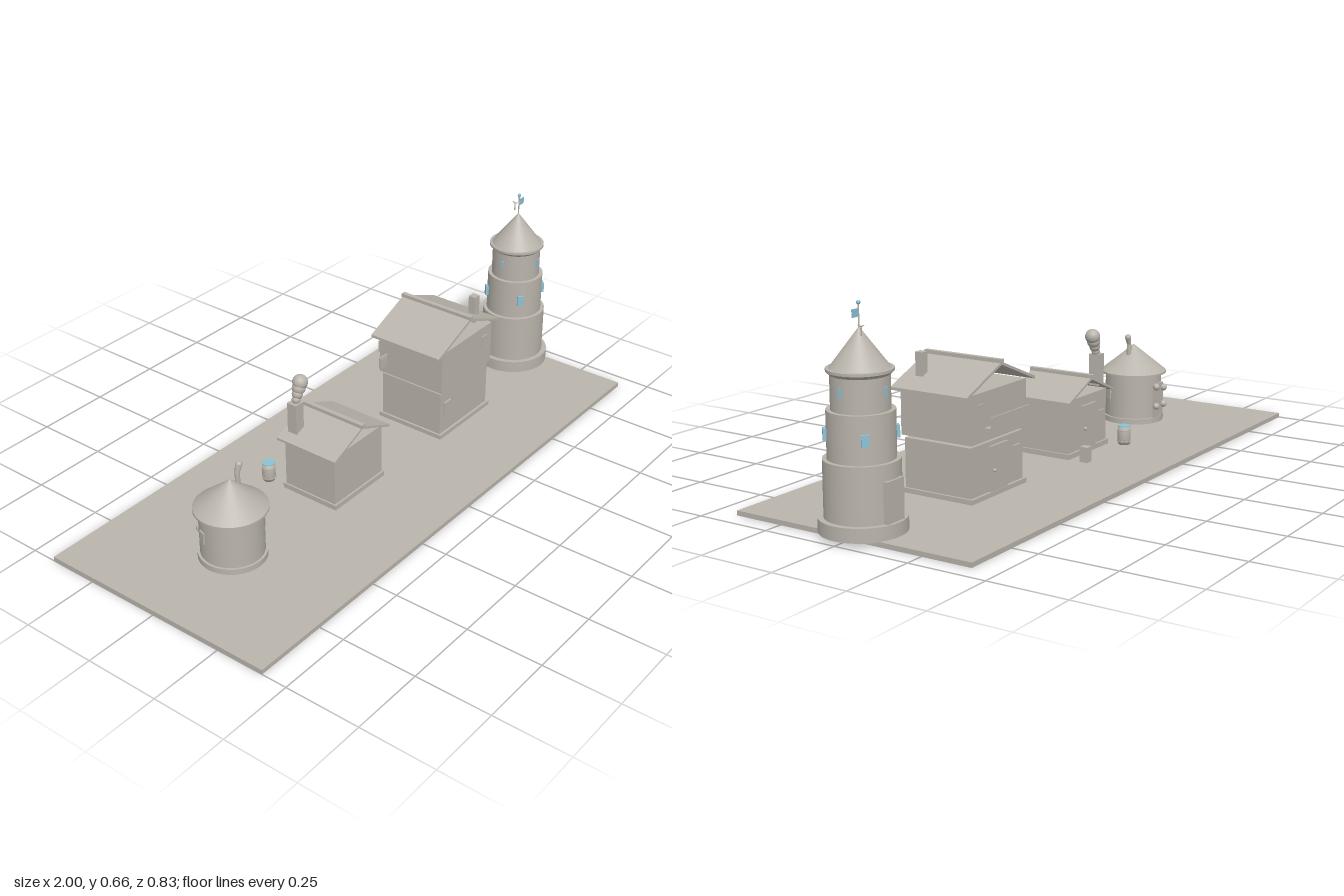
import * as THREE from 'three';

const stone = new THREE.MeshStandardMaterial({ color: 0xb9b4ab });
stone.name = 'warm grey stone';
const blue = new THREE.MeshStandardMaterial({ color: 0x8cc2d6 });
blue.name = 'pale blue';

function add(parent, name, geo, x, y, z, mat = stone) {
  const m = new THREE.Mesh(geo, mat);
  m.name = name;
  m.position.set(x, y, z);
  parent.add(m);
  return m;
}

function group(parent, name, x = 0, z = 0) {
  const g = new THREE.Group();
  g.name = name;
  g.position.set(x, 0, z);
  parent.add(g);
  return g;
}

// Box given by its size, bottom height and centre
const box = (p, name, w, h, d, x, y0, z, mat) =>
  add(p, name, new THREE.BoxGeometry(w, h, d), x, y0 + h / 2, z, mat);

// Upright drum or cone between two heights
const drum = (p, name, rBottom, rTop, y0, y1, x = 0, z = 0, mat = stone) =>
  add(p, name, new THREE.CylinderGeometry(rTop, rBottom, y1 - y0, 40), x, (y0 + y1) / 2, z, mat);

const ball = (p, name, r, x, y, z, mat) =>
  add(p, name, new THREE.SphereGeometry(r, 20, 14), x, y, z, mat);

// Box set on a round wall, turned outwards; angle 0 faces +z
function onWall(p, name, w, h, d, r, angle, y0, mat) {
  const m = box(p, name, w, h, d, Math.sin(angle) * r, y0, Math.cos(angle) * r, mat);
  m.rotation.y = angle;
  return m;
}

// Thin folded roof with its ridge along z, open underneath
function gableRoof(p, half, yEave, yRidge, depth, t) {
  const s = new THREE.Shape([
    [-half, yEave - t], [0, yRidge - t], [half, yEave - t],
    [half, yEave], [0, yRidge], [-half, yEave],
  ].map(([x, y]) => new THREE.Vector2(x, y)));
  const geo = new THREE.ExtrudeGeometry(s, { depth, bevelEnabled: false });
  add(p, 'gableRoof', geo, 0, 0, -depth / 2);
  box(p, 'ridgeCap', 0.016, 0.014, depth + 0.006, 0, yRidge - 0.006, 0);
}

function roundHut(root) {
  const g = group(root, 'roundHut', -0.655);
  drum(g, 'plinth', 0.107, 0.107, 0.014, 0.034);
  drum(g, 'wall', 0.099, 0.099, 0.034, 0.19);
  drum(g, 'eave', 0.115, 0.115, 0.185, 0.192);
  drum(g, 'coneRoof', 0.115, 0.002, 0.192, 0.283);
  // Leaning stove pipe with a puff
  drum(g, 'stovePipe', 0.008, 0.008, 0.24, 0.29, 0.035, 0);
  const puff = drum(g, 'smoke', 0.007, 0.011, 0.285, 0.316, 0.038, 0);
  puff.rotation.z = -0.3;
  ball(g, 'smokePuff', 0.011, 0.043, 0.315, 0);
  // Door with a cluster of round fittings
  onWall(g, 'door', 0.06, 0.12, 0.012, 0.098, Math.PI, 0.034);
  for (const [x, y] of [[-0.026, 0.135], [0.026, 0.145], [-0.026, 0.075], [0.026, 0.075]])
    ball(g, 'doorLantern', 0.012, x, y, -0.108);
  for (const a of [1.05, -1.9]) onWall(g, 'window', 0.024, 0.04, 0.01, 0.098, a, 0.095);
}

function cottage(root) {
  const g = group(root, 'cottage', -0.168);
  box(g, 'plinth', 0.252, 0.018, 0.214, 0, 0.014, 0);
  box(g, 'walls', 0.24, 0.175, 0.2, 0, 0.032, 0);
  gableRoof(g, 0.14, 0.207, 0.268, 0.234, 0.008);
  box(g, 'chimney', 0.036, 0.105, 0.036, -0.09, 0.222, -0.08);
  // Smoke swelling as it drifts
  [[-0.085, 0.335, 0.014], [-0.078, 0.353, 0.018], [-0.071, 0.371, 0.022], [-0.064, 0.389, 0.025]]
    .forEach(([x, y, r]) => ball(g, 'smokePuff', r, x, y, -0.08));
  box(g, 'door', 0.085, 0.145, 0.012, 0, 0.032, -0.102);
  ball(g, 'doorKnob', 0.006, 0.03, 0.1, -0.112);
  box(g, 'window', 0.03, 0.04, 0.008, -0.085, 0.1, -0.102);
  box(g, 'crate', 0.028, 0.05, 0.028, 0.125, 0.02, -0.17);

  // Water barrel
  const b = group(g, 'barrel', -0.127, -0.168);
  const profile = [[0, 0.022], [0.019, 0.022], [0.022, 0.04], [0.022, 0.065], [0.019, 0.084], [0, 0.084]]
    .map(([x, y]) => new THREE.Vector2(x, y));
  add(b, 'barrelBody', new THREE.LatheGeometry(profile, 28), 0, 0, 0);
  for (const y of [0.034, 0.07]) drum(b, 'hoop', 0.0235, 0.0235, y - 0.002, y + 0.002);
  drum(b, 'water', 0.0205, 0.0205, 0.083, 0.086, 0, 0, blue);
}

function townHouse(root) {
  const g = group(root, 'townHouse', 0.387);
  box(g, 'plinth', 0.29, 0.016, 0.258, 0, 0.014, 0);
  box(g, 'lowerStorey', 0.274, 0.154, 0.24, 0, 0.03, 0);
  box(g, 'upperStorey', 0.288, 0.15, 0.256, 0, 0.193, 0);
  gableRoof(g, 0.18, 0.345, 0.42, 0.276, 0.009);
  box(g, 'chimney', 0.026, 0.095, 0.026, 0.103, 0.35, 0.08);
  box(g, 'door', 0.09, 0.14, 0.012, 0, 0.03, -0.122);
  ball(g, 'doorKnob', 0.006, 0.03, 0.095, -0.131);
  // Windows on the long faces
  box(g, 'lowerWindow', 0.036, 0.045, 0.012, -0.1, 0.1, -0.121);
  box(g, 'lowerWindow', 0.036, 0.045, 0.012, -0.1, 0.1, 0.121);
  for (const z of [-0.128, 0.128]) box(g, 'upperWindow', 0.03, 0.04, 0.008, 0.1, 0.27, z);
  // Balcony
  box(g, 'balconyFloor', 0.2, 0.007, 0.026, 0, 0.234, -0.156);
  box(g, 'balconyRail', 0.2, 0.036, 0.004, 0, 0.239, -0.167);
  // Hanging sign on the side wall
  box(g, 'signArm', 0.04, 0.006, 0.006, -0.162, 0.262, -0.1);
  box(g, 'signBoard', 0.034, 0.036, 0.008, -0.164, 0.225, -0.1);
}

function tower(root) {
  const g = group(root, 'tower', 0.873);
  drum(g, 'base', 0.127, 0.127, 0.014, 0.056);
  drum(g, 'lowerTier', 0.11, 0.11, 0.056, 0.223);
  drum(g, 'middleTier', 0.097, 0.097, 0.223, 0.361);
  drum(g, 'upperTier', 0.084, 0.084, 0.361, 0.46);
  drum(g, 'corniceFlare', 0.084, 0.095, 0.458, 0.468);
  drum(g, 'cornice', 0.095, 0.095, 0.468, 0.476);
  drum(g, 'coneRoof', 0.086, 0.002, 0.476, 0.586);
  onWall(g, 'door', 0.075, 0.12, 0.02, 0.106, Math.PI, 0.056);
  // Diagonal windows on the middle tier, slits on the upper one
  for (let i = 0; i < 4; i++) {
    const a = i * Math.PI / 2;
    onWall(g, 'window', 0.022, 0.035, 0.012, 0.1, a + Math.PI / 4, 0.275, blue);
    onWall(g, 'slitWindow', 0.005, 0.028, 0.009, 0.088, a, 0.404, blue);
  }
  // Flag pole and flag
  drum(g, 'flagPole', 0.002, 0.002, 0.58, 0.652);
  ball(g, 'poleBall', 0.006, 0, 0.655, 0, blue);
  box(g, 'flag', 0.027, 0.023, 0.003, 0.015, 0.616, 0, blue);
  // Gliding bird beside the roof
  const bird = group(g, 'bird', 0.042, -0.042);
  box(bird, 'birdBody', 0.003, 0.024, 0.003, 0, 0.573, 0);
  for (const s of [-1, 1]) {
    const wing = box(bird, 'birdWing', 0.006, 0.002, 0.009, 0, 0.6, s * 0.005);
    wing.rotation.x = -s * 0.45;
  }
}

export function createModel() {
  const root = new THREE.Group();
  root.name = 'village';
  box(root, 'ground', 1.94, 0.015, 0.83, -0.03, 0, 0);
  roundHut(root);
  cottage(root);
  townHouse(root);
  tower(root);
  return root;
}
